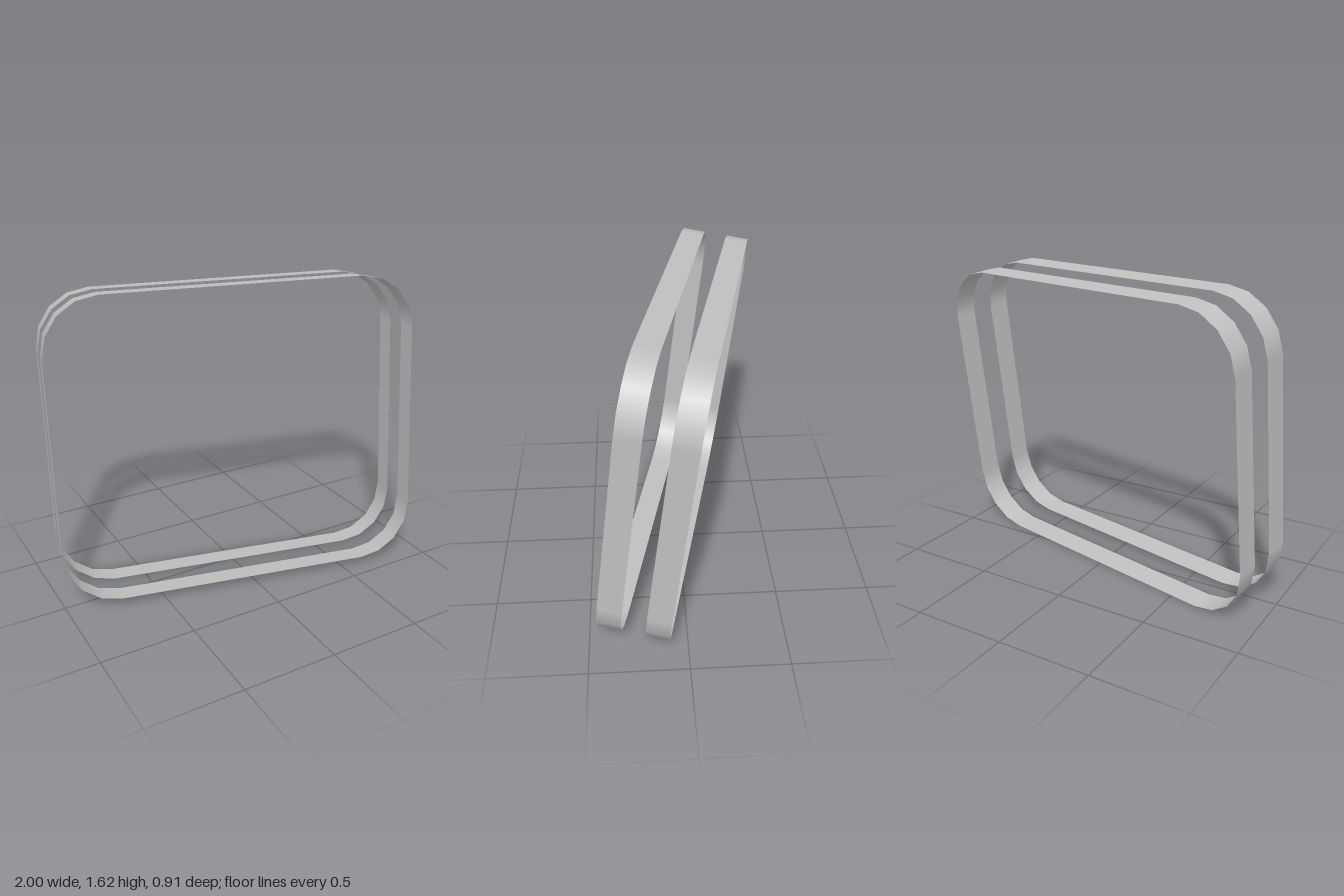
import * as THREE from 'three';

const WIDTH = 1.941, HEIGHT = 1.582, RADIUS = 0.29, STEPS = 4;
const STRIP = 0.123;

// Thin open strip following a rounded rectangle, extruded along z
function bandGeometry() {
  const positions = [], normals = [], index = [];
  const corners = [[1, 1], [-1, 1], [-1, -1], [1, -1]];
  corners.forEach(([sx, sy], c) => {
    for (let i = 0; i <= STEPS; i++) {
      const a = (c + i / STEPS) * Math.PI / 2;
      const nx = Math.cos(a), ny = Math.sin(a);
      const x = sx * (WIDTH / 2 - RADIUS) + nx * RADIUS;
      const y = sy * (HEIGHT / 2 - RADIUS) + ny * RADIUS;
      for (const z of [-STRIP / 2, STRIP / 2]) {
        positions.push(x, y, z);
        normals.push(nx, ny, 0);
      }
    }
  });
  const n = positions.length / 6;
  for (let i = 0; i < n; i++) {
    const a = 2 * i, b = 2 * ((i + 1) % n);
    index.push(a, b, b + 1, a, b + 1, a + 1);
  }
  const geometry = new THREE.BufferGeometry();
  geometry.setAttribute('position', new THREE.Float32BufferAttribute(positions, 3));
  geometry.setAttribute('normal', new THREE.Float32BufferAttribute(normals, 3));
  geometry.setIndex(index);
  return geometry;
}

export function createModel() {
  const model = new THREE.Group();
  model.name = 'doubleFrame';
  const grey = new THREE.MeshStandardMaterial({ color: 0xbfbfbf, side: THREE.DoubleSide });
  grey.name = 'light grey';

  // Both bands share one turned and backward-leaning frame
  const frame = new THREE.Group();
  frame.name = 'tiltedFrame';
  frame.rotation.set(THREE.MathUtils.degToRad(-7), THREE.MathUtils.degToRad(-12.3), 0, 'YXZ');
  frame.position.y = 0.8075;
  model.add(frame);

  // Front and back bands, one strip width apart
  const geometry = bandGeometry();
  for (const [name, z] of [['frontBand', STRIP], ['backBand', -STRIP]]) {
    const band = new THREE.Mesh(geometry, grey);
    band.name = name;
    band.position.z = z;
    frame.add(band);
  }
  return model;
}
